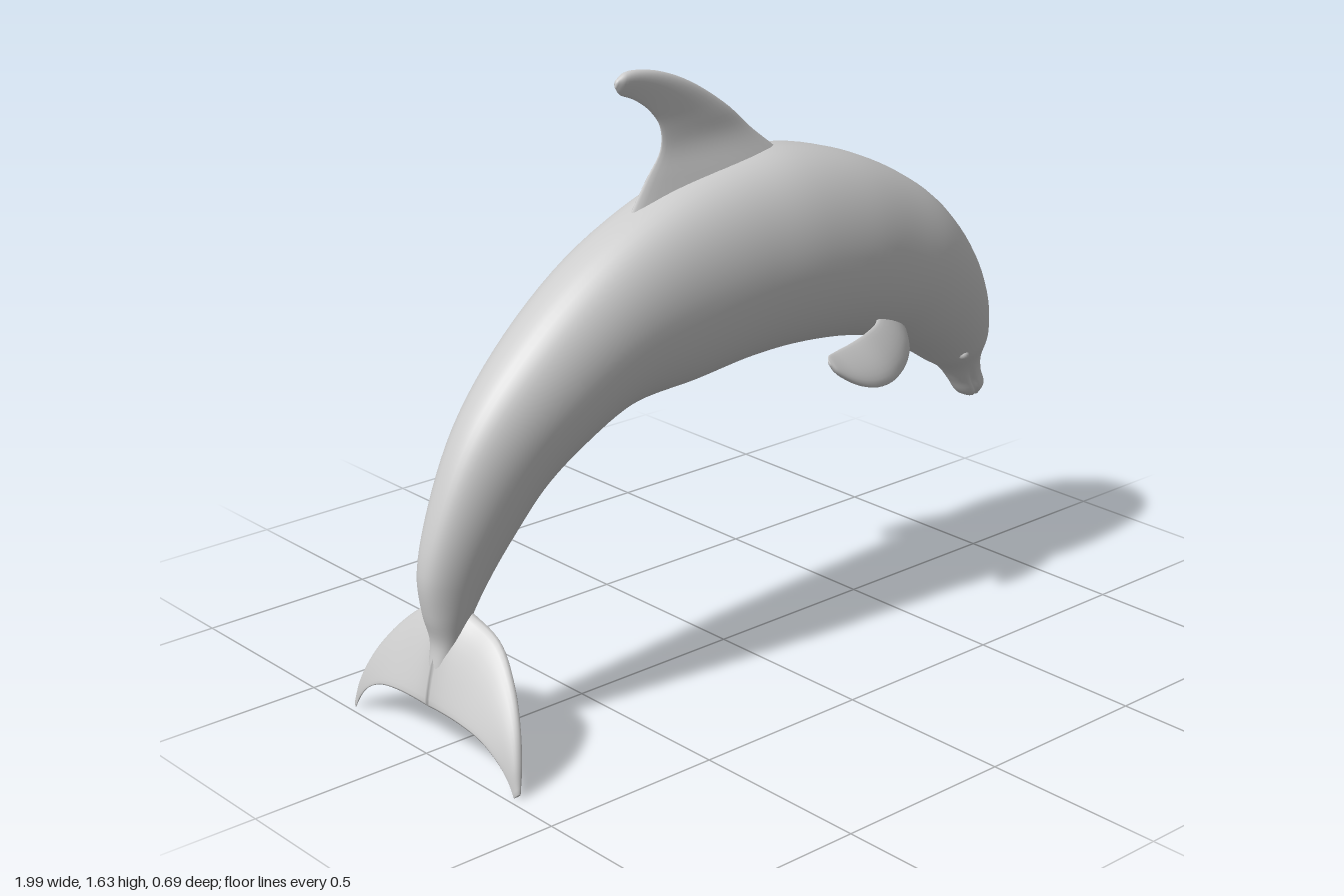
import * as THREE from 'three';

const material = new THREE.MeshStandardMaterial({ color: 0xcccccc });
const v = (p) => new THREE.Vector3(...p);

// Splines through the two edges of a shape and its half thickness.
// Row: [edge A xyz, edge B xyz, half thickness]
function makeSections(rows) {
  const a = new THREE.CatmullRomCurve3(rows.map((r) => v(r[0])));
  const b = new THREE.CatmullRomCurve3(rows.map((r) => v(r[1])));
  const w = new THREE.CatmullRomCurve3(rows.map((r, i) => new THREE.Vector3(i * 0.1, r[2], 0)));
  return (t) => ({ a: a.getPoint(t), b: b.getPoint(t), w: w.getPoint(t).y });
}

// Point on the skin at t along the shape and angle q around it
function skinPoint(section, normal, shape, t, q) {
  const { a, b, w } = section(t);
  const mid = a.clone().add(b).multiplyScalar(0.5);
  return mid
    .addScaledVector(a.clone().sub(b), Math.cos(q) / 2)
    .addScaledVector(normal, w * shape(t, q));
}

// Closed smooth skin with rounded-off end caps
function loft(name, rows, normal, shape, steps, sides) {
  const section = makeSections(rows);
  const pos = [];
  const index = [];
  for (let i = -1; i <= steps + 1; i++) {
    const t = Math.min(Math.max(i / steps, 0), 1);
    const { a, b } = section(t);
    const cap = i < 0 || i > steps;
    for (let j = 0; j < sides; j++) {
      const p = cap
        ? a.clone().add(b).multiplyScalar(0.5)
        : skinPoint(section, normal, shape, t, (j / sides) * Math.PI * 2);
      pos.push(p.x, p.y, p.z);
    }
  }
  // Orientation of the sections decides the corner order
  const s0 = section(0.3), s1 = section(0.6);
  const span = s1.a.clone().add(s1.b).sub(s0.a).sub(s0.b);
  const outward = s0.a.clone().sub(s0.b).cross(normal).dot(span) > 0;
  for (let i = 0; i < steps + 2; i++) {
    for (let j = 0; j < sides; j++) {
      const k = (j + 1) % sides;
      const p = i * sides + j, q = i * sides + k;
      const r = p + sides, s = q + sides;
      if (outward) index.push(p, q, r, q, s, r);
      else index.push(p, r, q, q, r, s);
    }
  }
  const geometry = new THREE.BufferGeometry();
  geometry.setAttribute('position', new THREE.Float32BufferAttribute(pos, 3));
  geometry.setIndex(index);
  geometry.computeVertexNormals();
  const mesh = new THREE.Mesh(geometry, material);
  mesh.name = name;
  return mesh;
}

// Full rounded body section, with a mouth crease along the beak
function bodyShape(t, q) {
  const s = Math.sin(q);
  const round = Math.sign(s) * Math.pow(Math.abs(s), 0.88);
  const beak = THREE.MathUtils.smoothstep(t, 0.85, 0.92);
  const side = Math.acos(Math.cos(q));
  return round * (1 - 0.2 * beak * Math.exp(-(((side - 1.85) / 0.15) ** 2)));
}

// Foil: rounder leading edge, thin trailing edge
const finShape = (t, q) => Math.sin(q) * (1 + 0.45 * Math.cos(q));

// Back x, y, belly x, y, half width: from tail to snout
const BODY = [
  [-0.985, 0.15, -0.97, 0.145, 0.012],
  [-0.975, 0.22, -0.94, 0.22, 0.028],
  [-0.965, 0.29, -0.89, 0.28, 0.042],
  [-0.985, 0.37, -0.86, 0.34, 0.053],
  [-0.995, 0.48, -0.8, 0.43, 0.066],
  [-0.945, 0.655, -0.72, 0.53, 0.086],
  [-0.85, 0.84, -0.63, 0.63, 0.11],
  [-0.69, 1.02, -0.51, 0.715, 0.138],
  [-0.47, 1.19, -0.37, 0.78, 0.16],
  [-0.23, 1.305, -0.16, 0.797, 0.178],
  [0, 1.36, 0.02, 0.818, 0.198],
  [0.17, 1.37, 0.17, 0.822, 0.214],
  [0.38, 1.325, 0.33, 0.81, 0.22],
  [0.57, 1.245, 0.44, 0.79, 0.21],
  [0.73, 1.14, 0.54, 0.765, 0.198],
  [0.865, 0.99, 0.63, 0.72, 0.175],
  [0.945, 0.84, 0.72, 0.67, 0.142],
  [0.975, 0.71, 0.79, 0.625, 0.105],
  [0.968, 0.63, 0.85, 0.588, 0.068],
  [0.98, 0.575, 0.888, 0.543, 0.05],
  [0.998, 0.53, 0.92, 0.5, 0.043],
  [0.988, 0.497, 0.945, 0.487, 0.024],
].map(([x, y, bx, by, w]) => [[x, y, 0], [bx, by, 0], w]);

// Leading edge, trailing edge, half thickness: from root to tip
const DORSAL = [
  [[0.26, 1.29, 0], [-0.36, 1.2, 0], 0.075],
  [[0.18, 1.36, 0], [-0.265, 1.345, 0], 0.045],
  [[0.09, 1.43, 0], [-0.214, 1.42, 0], 0.024],
  [[0.01, 1.5, 0], [-0.216, 1.48, 0], 0.02],
  [[-0.125, 1.585, 0], [-0.255, 1.53, 0], 0.018],
  [[-0.24, 1.627, 0], [-0.305, 1.563, 0], 0.016],
  [[-0.325, 1.634, 0], [-0.345, 1.58, 0], 0.013],
  [[-0.355, 1.618, 0], [-0.36, 1.6, 0], 0.005],
];
const FLIPPER = [
  [[0.6, 0.79, 0.05], [0.44, 0.9, 0.11], 0.04],
  [[0.52, 0.75, 0.17], [0.41, 0.87, 0.16], 0.025],
  [[0.42, 0.722, 0.23], [0.35, 0.853, 0.18], 0.017],
  [[0.33, 0.722, 0.25], [0.28, 0.838, 0.186], 0.014],
  [[0.25, 0.748, 0.25], [0.22, 0.833, 0.195], 0.012],
  [[0.19, 0.788, 0.238], [0.182, 0.832, 0.208], 0.009],
  [[0.17, 0.815, 0.226], [0.17, 0.826, 0.22], 0.003],
];
const FLUKE = [
  [[-0.885, 0.38, 0], [-0.99, 0.13, 0], 0.03],
  [[-0.87, 0.355, 0.055], [-0.992, 0.133, 0.05], 0.023],
  [[-0.872, 0.32, 0.15], [-0.992, 0.13, 0.13], 0.017],
  [[-0.9, 0.245, 0.237], [-0.988, 0.113, 0.21], 0.014],
  [[-0.93, 0.165, 0.295], [-0.985, 0.08, 0.27], 0.012],
  [[-0.955, 0.085, 0.329], [-0.982, 0.04, 0.31], 0.01],
  [[-0.972, 0.015, 0.345], [-0.982, 0.003, 0.333], 0.004],
];

export function createModel() {
  const model = new THREE.Group();
  const across = new THREE.Vector3(0, 0, 1);
  model.add(loft('body', BODY, across, bodyShape, 110, 48));
  model.add(loft('dorsalFin', DORSAL, across, finShape, 36, 28));

  const bodySection = makeSections(BODY);
  for (const [side, m] of [['left', 1], ['right', -1]]) {
    const mirror = (rows) => rows.map(([a, b, w]) => [
      [a[0], a[1], a[2] * m], [b[0], b[1], b[2] * m], w,
    ]);
    // Paddle-like flippers and tail flukes
    const flipperNormal = new THREE.Vector3(0.14, 0.5, 0.85 * m);
    const flukeNormal = new THREE.Vector3(-0.9, 0.42, 0);
    model.add(loft(side + 'Flipper', mirror(FLIPPER), flipperNormal, finShape, 32, 24));
    model.add(loft(side + 'Fluke', mirror(FLUKE), flukeNormal, finShape, 32, 24));

    // Small eyes set into the sides of the head
    const eye = new THREE.Mesh(new THREE.SphereGeometry(0.016, 16, 12), material);
    eye.name = side + 'Eye';
    eye.position.copy(skinPoint(bodySection, across, bodyShape, 0.8, 2.05 * m));
    eye.position.z -= 0.008 * m;
    model.add(eye);
  }
  return model;
}
